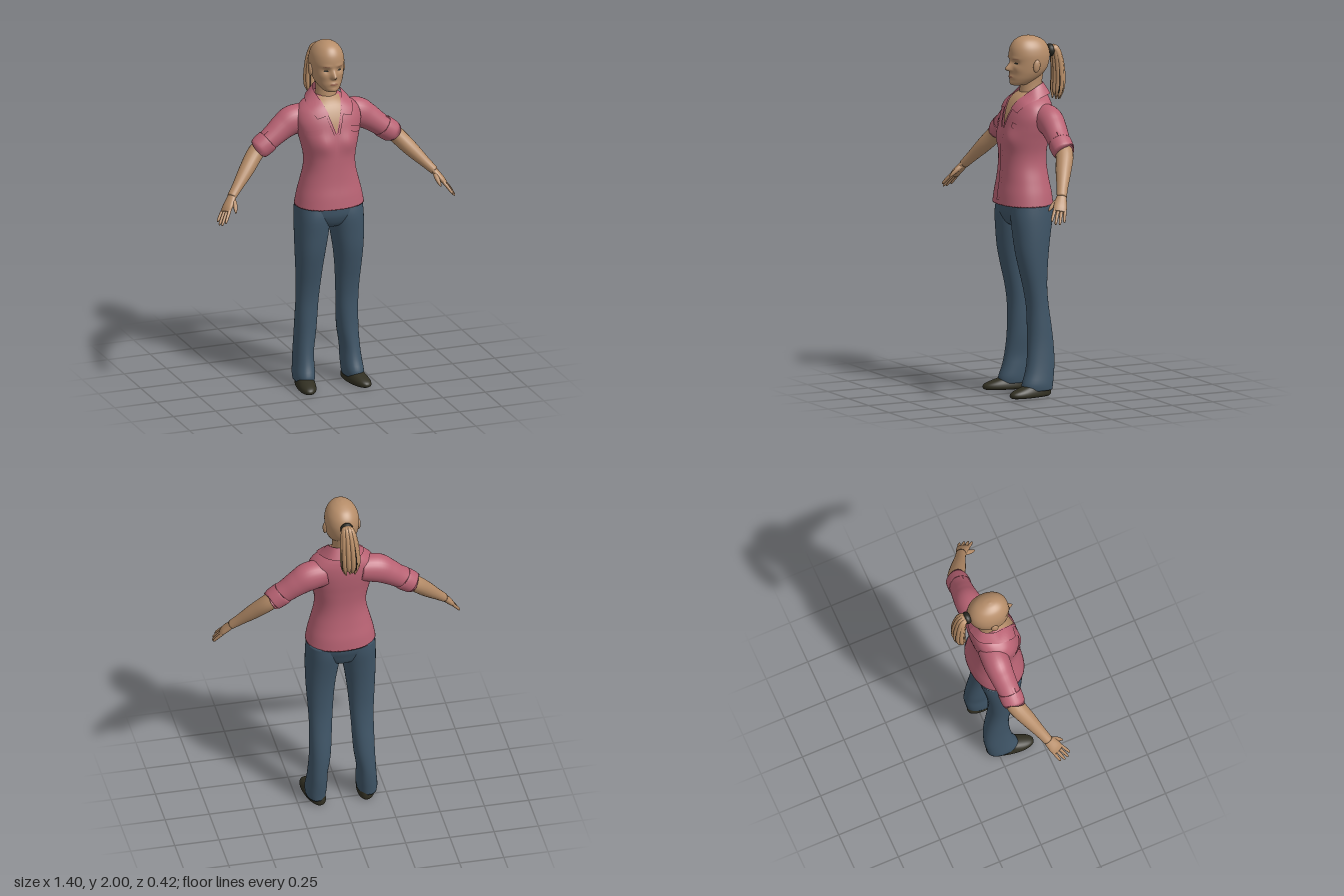
import * as THREE from 'three';

const mat = (name, color, side = THREE.FrontSide) => {
  const m = new THREE.MeshStandardMaterial({ color, side });
  m.name = name;
  return m;
};

// Smooth interpolation of rows of numbers
function sample(rows, n) {
  const out = [], last = rows.length - 1;
  for (let k = 0; k <= n; k++) {
    const f = (k / n) * last, i = Math.min(Math.floor(f), last - 1), t = f - i;
    const a = rows[Math.max(i - 1, 0)], b = rows[i], c = rows[i + 1], d = rows[Math.min(i + 2, last)];
    out.push(b.map((_, j) => b[j] + 0.5 * t * (c[j] - a[j] +
      t * (2 * a[j] - 5 * b[j] + 4 * c[j] - d[j] + t * (3 * (b[j] - c[j]) + d[j] - a[j])))));
  }
  return out;
}

// Skin a list of point rings (or open strips) into one smooth surface
function skin(rings, closed) {
  const n = rings[0].length, pos = rings.flat(2), idx = [];
  const cols = closed ? n : n - 1;
  for (let r = 0; r < rings.length - 1; r++) for (let i = 0; i < cols; i++) {
    const a = r * n + i, b = r * n + (i + 1) % n;
    idx.push(a, b, a + n, b, b + n, a + n);
  }
  if (closed) [0, rings.length - 1].forEach((r) => {
    const c = pos.length / 3;
    for (let j = 0; j < 3; j++) pos.push(rings[r].reduce((s, p) => s + p[j], 0) / n);
    for (let i = 0; i < n; i++) {
      const a = r * n + i, b = r * n + (i + 1) % n;
      if (r) idx.push(a, b, c); else idx.push(b, a, c);
    }
  });
  const g = new THREE.BufferGeometry();
  g.setAttribute('position', new THREE.Float32BufferAttribute(pos, 3));
  g.setIndex(idx);
  g.computeVertexNormals();
  return g;
}

// Upright body from rows [y, xMin, xMax, zBack, zFront], rising in y
function upright(rows, { p = 2, steps = 40, sides = 40, bump = () => 0 } = {}) {
  const dense = sample(rows, steps), pw = (v) => Math.sign(v) * Math.abs(v) ** (2 / p);
  const rings = dense.map(([y, x0, x1, z0, z1]) => Array.from({ length: sides }, (_, i) => {
    const a = (i / sides) * Math.PI * 2;
    const x = (x0 + x1) / 2 + (x1 - x0) / 2 * pw(Math.cos(a));
    const s = -pw(Math.sin(a));
    return [x, y, (z0 + z1) / 2 + (z1 - z0) / 2 * s + (s > 0 ? bump(x, y) : 0)];
  }));
  const frontZ = (x, y) => {
    let k = dense.findIndex((r) => r[0] >= y);
    if (k < 1) k = k < 0 ? dense.length - 1 : 1;
    const a = dense[k - 1], b = dense[k], t = Math.min(1, (y - a[0]) / (b[0] - a[0]));
    const [, x0, x1, z0, z1] = a.map((v, j) => v + (b[j] - v) * t);
    const u = Math.min(1, Math.abs((x - (x0 + x1) / 2) / ((x1 - x0) / 2)));
    return (z0 + z1) / 2 + (z1 - z0) / 2 * (1 - u ** p) ** (1 / p) + bump(x, y);
  };
  return { geometry: skin(rings, true), frontZ };
}

// Limb along a path, rows [x, y, z, radius along ref, radius across]
function limb(rows, ref = [0, 0, 1], steps = 18, sides = 16) {
  const d = sample(rows, steps), v = (r) => new THREE.Vector3(r[0], r[1], r[2]);
  return skin(d.map((r, k) => {
    const t = v(d[Math.min(k + 1, steps)]).sub(v(d[Math.max(k - 1, 0)])).normalize();
    const w = new THREE.Vector3(...ref).addScaledVector(t, -t.dot(new THREE.Vector3(...ref))).normalize();
    const n = t.clone().cross(w);
    return Array.from({ length: sides }, (_, i) => {
      const a = (i / sides) * Math.PI * 2;
      return v(r).addScaledVector(w, Math.cos(a) * r[3]).addScaledVector(n, Math.sin(a) * r[4]).toArray();
    });
  }), true);
}

// Open surface from a function of u and v in 0..1
const sheet = (nu, nv, fn) => skin(Array.from({ length: nv + 1 }, (_, j) =>
  Array.from({ length: nu + 1 }, (_, i) => fn(i / nu, j / nv))), false);

function mirrored(g) {
  const m = g.clone().scale(-1, 1, 1), a = m.index.array;
  for (let i = 0; i < a.length; i += 3) [a[i], a[i + 1]] = [a[i + 1], a[i]];
  m.computeVertexNormals();
  return m;
}

export function createModel() {
  const root = new THREE.Group();
  root.name = 'woman';
  const skinTone = mat('skin', 0xb68d69, THREE.DoubleSide), hair = mat('hair', 0xbb9069);
  const shirt = mat('shirt pink', 0xb96374, THREE.DoubleSide), denim = mat('denim blue', 0x3f5567);
  const leather = mat('shoe leather', 0x302e21), dark = mat('dark detail', 0x27261f, THREE.DoubleSide);
  const lip = mat('lips', 0x98664f, THREE.DoubleSide);
  const add = (name, g, m) => {
    const mesh = new THREE.Mesh(g, m);
    mesh.name = name;
    root.add(mesh);
  };
  const pair = (name, g, m) => {
    add('left ' + name, g, m);
    add('right ' + name, mirrored(g), m);
  };
  const gauss = (x, y, cx, cy, sx, sy) => Math.exp(-(((x - cx) / sx) ** 2) - ((y - cy) / sy) ** 2);
  const sym = (rows) => rows.map(([y, x, b, f]) => [y, -x, x, b, f]);

  // Trousers and shoes
  add('trouser seat', upright(sym([[0.925, 0.03, -0.02, 0.07], [0.95, 0.12, -0.055, 0.13], [1.0, 0.185, -0.077, 0.16],
    [1.05, 0.192, -0.092, 0.168], [1.11, 0.182, -0.09, 0.165]])).geometry, denim);
  pair('trouser leg', upright([[0.035, 0.092, 0.198, -0.058, 0.118], [0.07, 0.086, 0.202, -0.062, 0.12],
    [0.13, 0.084, 0.196, -0.07, 0.1], [0.2, 0.083, 0.19, -0.075, 0.086], [0.3, 0.068, 0.184, -0.072, 0.077],
    [0.4, 0.06, 0.182, -0.06, 0.075], [0.5, 0.055, 0.181, -0.045, 0.078], [0.6, 0.048, 0.184, -0.036, 0.094],
    [0.7, 0.04, 0.19, -0.038, 0.118], [0.8, 0.028, 0.195, -0.046, 0.14], [0.9, 0.012, 0.197, -0.06, 0.152],
    [1.0, 0.002, 0.195, -0.077, 0.16], [1.07, 0.01, 0.19, -0.08, 0.15]], { p: 2.2 }).geometry, denim);
  const shoe = upright([[0, -0.045, 0.045, -0.055, 0.195], [0.01, -0.053, 0.053, -0.062, 0.206],
    [0.028, -0.052, 0.052, -0.062, 0.2], [0.045, -0.047, 0.047, -0.058, 0.165],
    [0.07, -0.04, 0.04, -0.05, 0.085]], { p: 2.2, steps: 16 }).geometry;
  pair('shoe', shoe.rotateY(0.17).translate(0.137, 0, 0.004), leather);

  // Shirt body
  const torso = upright(sym([[1.065, 0.195, -0.106, 0.2], [1.13, 0.183, -0.1, 0.193], [1.2, 0.165, -0.087, 0.182],
    [1.28, 0.146, -0.077, 0.176], [1.35, 0.145, -0.076, 0.174], [1.43, 0.162, -0.084, 0.172],
    [1.5, 0.18, -0.094, 0.16], [1.56, 0.189, -0.1, 0.145], [1.61, 0.175, -0.1, 0.124],
    [1.645, 0.14, -0.095, 0.103], [1.67, 0.1, -0.088, 0.08], [1.69, 0.072, -0.08, 0.05]]),
  { p: 2.25, steps: 60, sides: 56, bump: (x, y) => 0.014 * gauss(Math.abs(x), y, 0.075, 1.44, 0.05, 0.055) });
  add('shirt body', torso.geometry, shirt);
  const onChest = (x, y, lift) => [x, y, torso.frontZ(x, y) + lift];

  // Open neckline, placket and pocket flaps
  add('chest skin', sheet(12, 14, (u, v) => onChest((u * 2 - 1) * (0.002 + 0.06 * v), 1.505 + 0.183 * v, 0.004)), skinTone);
  pair('neckline edge', sheet(2, 12, (u, v) => onChest(0.002 + 0.05 * v + 0.016 * u, 1.495 + 0.155 * v, 0.009)), shirt);
  add('placket', sheet(4, 20, (u, v) => onChest((u - 0.5) * 0.03, 1.09 + 0.41 * v, 0.004)), shirt);
  pair('pocket flap', sheet(10, 4, (u, v) => onChest(0.08 + 0.085 * u,
    1.535 - 0.022 * u - (1 - v) * (0.026 + 0.012 * (1 - Math.abs(2 * u - 1))), 0.007)), shirt);

  // Collar
  const inner = sample([[0, 1.735, -0.068], [0.055, 1.738, -0.05], [0.077, 1.715, 0.01], [0.06, 1.67, 0.075], [0.032, 1.605, 0.12]], 24);
  const outer = sample([[0, 1.675, -0.104], [0.085, 1.678, -0.078], [0.127, 1.66, 0.01], [0.122, 1.625, 0.08], [0.1, 1.585, 0.13]], 24);
  pair('collar', sheet(6, 24, (u, v) => {
    const k = Math.round(v * 24), [x, y, z] = inner[k].map((a, j) => a + (outer[k][j] - a) * (1 - u));
    return [x, y, z > 0 ? Math.max(z, torso.frontZ(x, y) + 0.01) : z];
  }), shirt);

  // Sleeves with turned cuffs
  pair('sleeve', limb([[0.1, 1.56, -0.02, 0.075, 0.075], [0.19, 1.545, -0.022, 0.076, 0.083],
    [0.25, 1.512, -0.02, 0.07, 0.073], [0.31, 1.468, -0.014, 0.064, 0.063], [0.385, 1.413, -0.008, 0.058, 0.057]], undefined, 24, 28), shirt);
  pair('sleeve cuff', limb([[0.338, 1.447, -0.011, 0.06, 0.06], [0.343, 1.443, -0.011, 0.066, 0.065],
    [0.388, 1.411, -0.008, 0.064, 0.062], [0.392, 1.408, -0.008, 0.058, 0.057]], undefined, 12, 28), shirt);
  pair('sleeve tab', limb([[0.325, 1.523, 0.002, 0.011, 0.004], [0.36, 1.501, 0.004, 0.011, 0.005],
    [0.4, 1.473, 0.005, 0.011, 0.004]], undefined, 8, 8), shirt);

  // Forearms and hands
  pair('forearm', limb([[0.34, 1.445, -0.01, 0.048, 0.046], [0.41, 1.393, -0.004, 0.05, 0.046],
    [0.485, 1.312, 0.04, 0.043, 0.042], [0.555, 1.237, 0.082, 0.032, 0.03], [0.6, 1.19, 0.108, 0.028, 0.024]], undefined, 20, 20), skinTone);
  const across = [-0.4, 0.2, 0.9], along = [0.55, -0.72, 0.44];
  pair('palm', limb([[0.588, 1.205, 0.1, 0.025, 0.02], [0.61, 1.175, 0.117, 0.032, 0.019],
    [0.635, 1.143, 0.135, 0.038, 0.017], [0.652, 1.12, 0.147, 0.034, 0.011]], across), skinTone);
  [0.075, 0.088, 0.085, 0.068].forEach((len, i) => {
    const s = 0.027 - i * 0.018, at = (d, r, fan) => [0, 1, 2].map((j) =>
      [0.645, 1.128, 0.142][j] + along[j] * d + across[j] * s * fan - (j === 1 ? d * d * 1.2 : 0)).concat(r, r);
    pair('finger ' + (i + 1), limb([at(-0.01, 0.009, 1), at(len * 0.45, 0.0088, 1.15), at(len * 0.88, 0.007, 1.25),
      at(len, 0.003, 1.25)], across, 10, 10), skinTone);
  });
  pair('thumb', limb([[0.6, 1.185, 0.118, 0.015, 0.014], [0.598, 1.162, 0.15, 0.014, 0.013],
    [0.603, 1.138, 0.177, 0.01, 0.01], [0.607, 1.122, 0.192, 0.004, 0.004]], [1, 0, 0], 10, 10), skinTone);

  // Neck and head, with nose, brow, sockets and lips raised from the surface
  add('neck', upright(sym([[1.6, 0.07, -0.07, 0.07], [1.68, 0.06, -0.062, 0.062], [1.74, 0.056, -0.066, 0.055],
    [1.81, 0.06, -0.078, 0.05]])).geometry, skinTone);
  const face = (x, y) => {
    const ax = Math.abs(x), down = y < 1.818 ? 0.012 : 0.03;
    return 0.036 * gauss(x, y, 0, 1.818, 0.014, down) + 0.006 * gauss(x, y, 0, 1.775, 0.026, 0.012)
      - 0.01 * gauss(ax, y, 0.038, 1.853, 0.018, 0.014) + 0.004 * gauss(ax, y, 0.035, 1.88, 0.03, 0.01)
      + 0.005 * gauss(x, y, 0, 1.742, 0.022, 0.014) + 0.004 * gauss(ax, y, 0.055, 1.82, 0.02, 0.02);
  };
  const head = upright(sym([[1.724, 0.015, 0.05, 0.1], [1.732, 0.042, 0.015, 0.118], [1.76, 0.066, -0.035, 0.122],
    [1.79, 0.081, -0.072, 0.121], [1.82, 0.089, -0.095, 0.121], [1.86, 0.094, -0.107, 0.121],
    [1.9, 0.094, -0.109, 0.124], [1.94, 0.084, -0.097, 0.116], [1.973, 0.062, -0.068, 0.094],
    [1.993, 0.032, -0.025, 0.06], [2.0, 0.004, 0.012, 0.024]]), { p: 2.1, steps: 90, sides: 96, bump: face });
  add('head', head.geometry, skinTone);
  const decal = (cx, cy, w, h, tilt = 0) => sheet(10, 4, (u, v) => {
    const x = cx + (u * 2 - 1) * w;
    const y = cy + tilt * (u * 2 - 1) + (v * 2 - 1) * h * Math.sqrt(Math.max(0, 1 - (u * 2 - 1) ** 2));
    return [x, y, head.frontZ(x, y) + 0.0025];
  });
  pair('eye', decal(0.039, 1.852, 0.013, 0.005), dark);
  pair('eyebrow', decal(0.042, 1.878, 0.019, 0.0022, 0.001), lip);
  add('mouth', decal(0, 1.775, 0.024, 0.006), lip);
  pair('ear', new THREE.SphereGeometry(1, 16, 12).scale(0.012, 0.036, 0.021).rotateX(-0.15).translate(0.095, 1.838, 0.008), skinTone);

  // Ponytail: tie, core and fanned strands
  add('hair tie', new THREE.TorusGeometry(0.021, 0.015, 12, 24).scale(1, 1, 1.2).translate(0, 1.905, -0.12), dark);
  const strand = (x, z, low, r) => limb([[x * 0.2, 1.905, -0.105, r * 0.6, r * 0.6], [x * 0.5, 1.912 + z * -0.4, -0.145 + z * 0.3, r, r],
    [x * 0.85 - 0.004, 1.85, -0.166 + z * 0.8, r, r], [x - 0.008, 1.75, -0.175 + z, r, r],
    [x * 0.95 - 0.01, 1.68, -0.17 + z, r * 0.85, r * 0.85], [x * 0.7 - 0.01, low, -0.163 + z * 0.8, 0.003, 0.003]], [1, 0, 0.2], 22, 10);
  add('ponytail core', strand(0, 0, 1.625, 0.024), hair);
  for (let i = 0; i < 10; i++) {
    const a = (i / 10) * Math.PI * 2;
    add('ponytail strand', strand(Math.cos(a) * 0.042, Math.sin(a) * 0.022, 1.63 + 0.012 * (i % 3), 0.015), hair);
    if (i % 3 === 0) add('dark strand', strand(Math.cos(a + 0.31) * 0.05, Math.sin(a + 0.31) * 0.029, 1.66, 0.005), dark);
  }
  return root;
}
